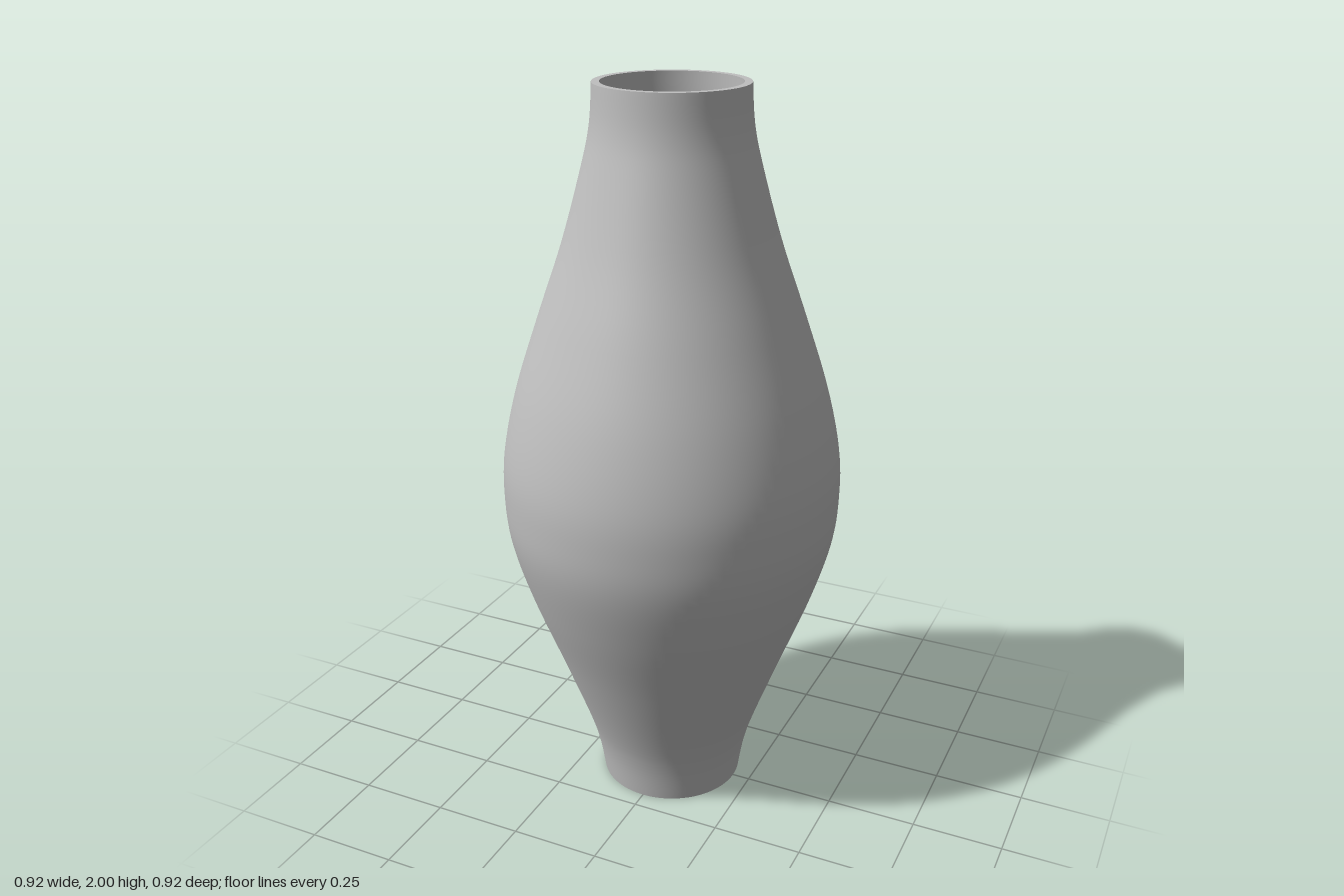
import * as THREE from 'three';

const SEGMENTS = 96;
const WALL = 0.02;

// Vase silhouette as [radius, height], from foot to lip
const PROFILE = [
  [0.2, 0], [0.217, 0.1], [0.246, 0.2], [0.32, 0.4], [0.396, 0.6], [0.447, 0.77], [0.461, 0.9],
  [0.455, 1.03], [0.418, 1.2], [0.353, 1.4], [0.284, 1.6], [0.228, 1.8], [0.207, 1.9], [0.2, 2],
];

export function createModel() {
  const group = new THREE.Group();
  group.name = 'vase';
  const grey = new THREE.MeshStandardMaterial({ color: 0xbfbfbf });
  grey.name = 'grey';

  const curve = new THREE.SplineCurve(PROFILE.map(([r, y]) => new THREE.Vector2(r, y)));
  const outer = curve.getPoints(78);

  // Inner wall: the silhouette moved in by the wall thickness, running down to the floor
  const inner = outer
    .filter((p) => p.y > WALL)
    .map((p) => new THREE.Vector2(p.x - WALL, p.y))
    .reverse();
  const floorRadius = inner[inner.length - 1].x;
  inner.push(new THREE.Vector2(floorRadius, WALL));

  // Each part is turned on its own so that the edges between them stay sharp
  const turn = (name, points) => {
    const mesh = new THREE.Mesh(new THREE.LatheGeometry(points, SEGMENTS), grey);
    mesh.name = name;
    group.add(mesh);
  };
  const flat = (r0, r1, y) => [new THREE.Vector2(r0, y), new THREE.Vector2(r1, y)];

  turn('outerWall', outer);
  turn('rim', flat(0.2, 0.2 - WALL, 2));
  turn('innerWall', inner);
  turn('innerFloor', flat(floorRadius, 0, WALL));
  turn('base', flat(0, 0.2, 0));

  return group;
}
